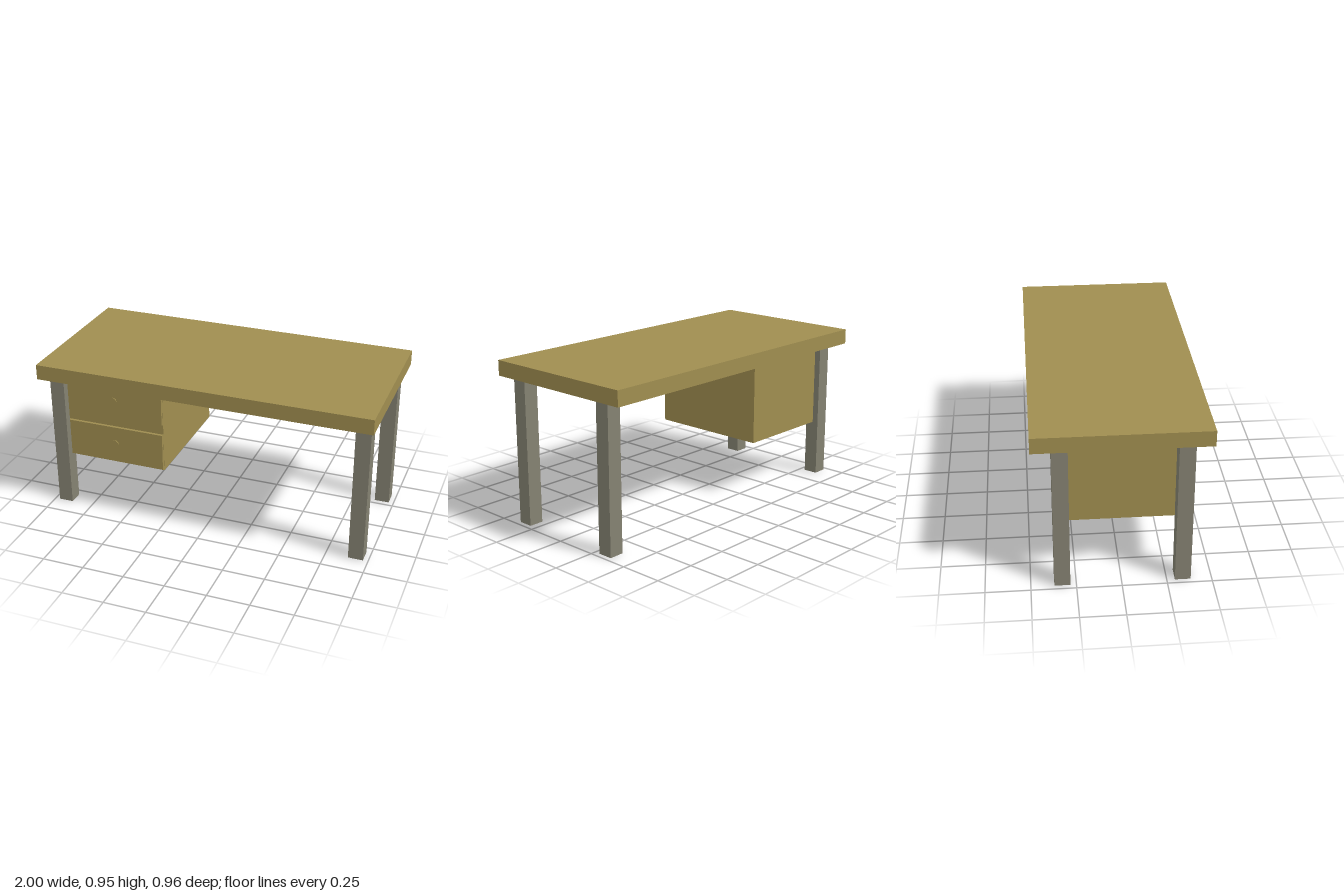
import * as THREE from 'three';

export function createModel() {
  const wood = new THREE.MeshStandardMaterial({ name: 'olive wood', color: 0xa08e50 });
  const grey = new THREE.MeshStandardMaterial({ name: 'warm grey', color: 0x858272 });
  const desk = new THREE.Group();
  desk.name = 'desk';

  // Box given by its low and high corner
  function box(name, material, [x0, y0, z0], [x1, y1, z1]) {
    const mesh = new THREE.Mesh(new THREE.BoxGeometry(x1 - x0, y1 - y0, z1 - z0), material);
    mesh.position.set((x0 + x1) / 2, (y0 + y1) / 2, (z0 + z1) / 2);
    mesh.name = name;
    desk.add(mesh);
    return mesh;
  }

  box('tableTop', wood, [-1, 0.865, -0.479], [1, 0.955, 0.479]);

  // Legs; the front right one has a wooden foot face
  const woodFoot = [grey, grey, grey, wood, grey, grey];
  for (const [side, x] of [['Left', 0.926], ['Right', -0.927]]) {
    for (const [end, z] of [['front', 0.339], ['back', -0.327]]) {
      const material = side === 'Right' && end === 'front' ? woodFoot : grey;
      box(`${end}${side}Leg`, material, [x - 0.044, 0, z - 0.044], [x + 0.044, 0.866, z + 0.044]);
    }
  }

  box('drawerCabinet', wood, [-0.857, 0.351, -0.352], [-0.25, 0.866, 0.384]);

  // Drawer fronts with a small chamfer, each with a flared round knob
  const chamfer = 0.006;
  for (const [name, y0, y1, knobY] of [['upper', 0.648, 0.865, 0.758], ['lower', 0.351, 0.59, 0.477]]) {
    const front = box(`${name}DrawerFront`, wood, [-0.857, y0, 0.382], [-0.25, y1, 0.393]);
    const p = front.geometry.attributes.position;
    for (let i = 0; i < p.count; i++) {
      if (p.getZ(i) > 0) {
        p.setX(i, p.getX(i) - Math.sign(p.getX(i)) * chamfer);
        p.setY(i, p.getY(i) - Math.sign(p.getY(i)) * chamfer);
      }
    }
    front.geometry.computeVertexNormals();

    const knob = new THREE.Mesh(new THREE.CylinderGeometry(0.034, 0.021, 0.024, 32), wood);
    knob.name = `${name}Knob`;
    knob.rotation.x = Math.PI / 2;
    knob.position.set(-0.559, knobY, 0.404);
    desk.add(knob);
  }
  return desk;
}
